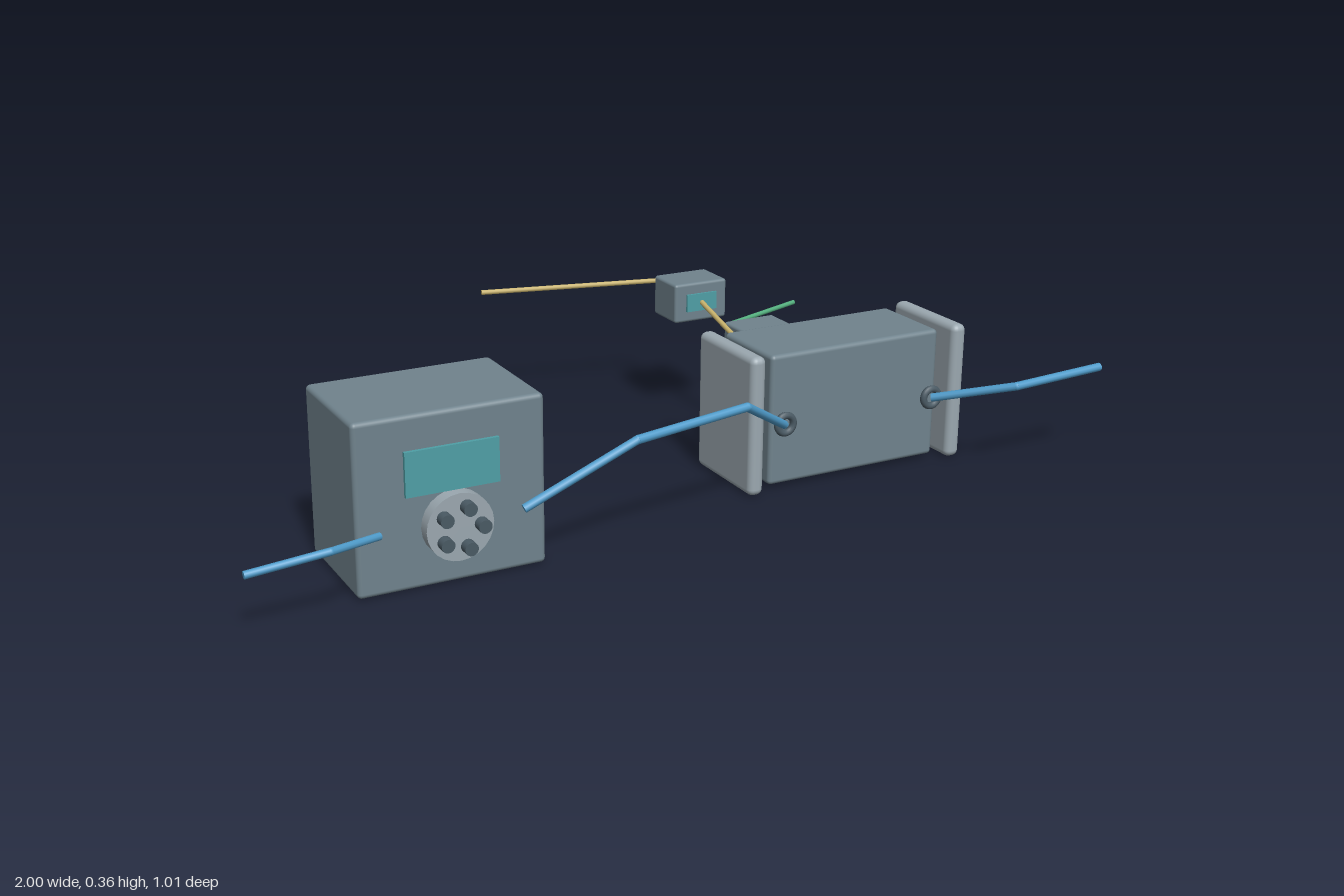
import * as THREE from 'three';
import { RoundedBoxGeometry } from 'three/addons/geometries/RoundedBoxGeometry.js';

const mat = (name, color) => new THREE.MeshStandardMaterial({ name, color });

export function createModel() {
  const root = new THREE.Group();
  const slate = mat('slate', 0x70838d);
  const paleGrey = mat('paleGrey', 0x9ba8b0);
  const darkGrey = mat('darkGrey', 0x4a5a64);
  const teal = mat('teal', 0x4f9fa6);
  const blue = mat('blue', 0x4f9ccb);
  const gold = mat('gold', 0xc6b06a);
  const green = mat('green', 0x55b07f);

  const add = (name, geometry, material, x, y, z, parent = root) => {
    const mesh = new THREE.Mesh(geometry, material);
    mesh.name = name;
    mesh.position.set(x, y, z);
    parent.add(mesh);
    return mesh;
  };
  const box = (name, w, h, d, r, material, x, y, z, parent) =>
    add(name, new RoundedBoxGeometry(w, h, d, 3, r), material, x, y, z, parent);
  // Cylinder lying along z
  const rod = (name, r, length, material, x, y, z, parent) =>
    add(name, new THREE.CylinderGeometry(r, r, length, 24).rotateX(Math.PI / 2), material, x, y, z, parent);

  // Hose made of straight runs with ball joints at the bends
  const hose = (name, r, material, points) => {
    const group = new THREE.Group();
    group.name = name;
    root.add(group);
    const p = points.map((v) => new THREE.Vector3(...v));
    for (let i = 0; i < p.length - 1; i++) {
      const dir = p[i + 1].clone().sub(p[i]);
      const mid = p[i].clone().add(p[i + 1]).multiplyScalar(0.5);
      const run = add(name + 'Run', new THREE.CylinderGeometry(r, r, dir.length(), 10), material, mid.x, mid.y, mid.z, group);
      run.quaternion.setFromUnitVectors(new THREE.Vector3(0, 1, 0), dir.normalize());
      if (i > 0) add(name + 'Bend', new THREE.SphereGeometry(r, 10, 8), material, ...points[i], group);
    }
  };

  // Pump with display and roller head
  const pump = new THREE.Group();
  pump.name = 'pump';
  root.add(pump);
  box('pumpHousing', 0.395, 0.357, 0.265, 0.01, slate, -0.567, 0.184, 0.297, pump);
  add('pumpDisplay', new THREE.BoxGeometry(0.195, 0.092, 0.009), teal, -0.567, 0.246, 0.433, pump);
  rod('rotorDisc', 0.07, 0.03, paleGrey, -0.563, 0.13, 0.443, pump);
  for (let i = 0; i < 5; i++) {
    const a = (i * Math.PI * 2) / 5;
    rod('roller', 0.014, 0.03, darkGrey, -0.563 + 0.043 * Math.cos(a), 0.13 + 0.043 * Math.sin(a), 0.465, pump);
  }

  // Filter cassette with end plates and front rings
  box('cassetteBody', 0.438, 0.298, 0.2, 0.01, slate, 0.449, 0.161, 0.2);
  for (const side of [-1, 1]) {
    box('endPlate', 0.037, 0.316, 0.232, 0.015, paleGrey, 0.45 + side * 0.263, 0.161, 0.206);
    add('portRing', new THREE.TorusGeometry(0.02, 0.008, 10, 24), darkGrey, 0.447 + side * 0.193, 0.16, 0.323);
  }

  // Feed hoses
  hose('inletHose', 0.008, blue, [[-1, 0.135, 0.493], [-0.835, 0.148, 0.493], [-0.72, 0.134, 0.437]]);
  hose('linkHose', 0.0095, blue, [[-0.42, 0.133, 0.437], [-0.18, 0.243, 0.458], [0.095, 0.256, 0.422], [0.25, 0.16, 0.325]]);
  hose('outletHose', 0.0095, blue, [[0.64, 0.16, 0.325], [0.765, 0.209, 0.463], [1, 0.219, 0.463]]);

  // Rear lines, each with a sensor block and its small display
  const lines = [
    { name: 'upper', x: 0.336, y: 0.249, endX: -0.1, material: gold },
    { name: 'lower', x: 0.534, y: 0.105, endX: 0.8, material: green },
  ];
  for (const { name, x, y, endX, material } of lines) {
    const top = y + 0.044;
    rod(name + 'Port', 0.016, 0.045, paleGrey, x, y, 0.085);
    hose(name + 'Line', 0.006, material, [
      [x, y, 0.09], [x, y, -0.035], [x, top, -0.19], [x, top, -0.4], [endX, top, -0.5],
    ]);
    box(name + 'SensorBlock', 0.14, 0.095, 0.105, 0.007, slate, x, top, -0.243);
    add(name + 'SensorDisplay', new THREE.BoxGeometry(0.08, 0.042, 0.008), teal, x, top, -0.189);
  }
  return root;
}
